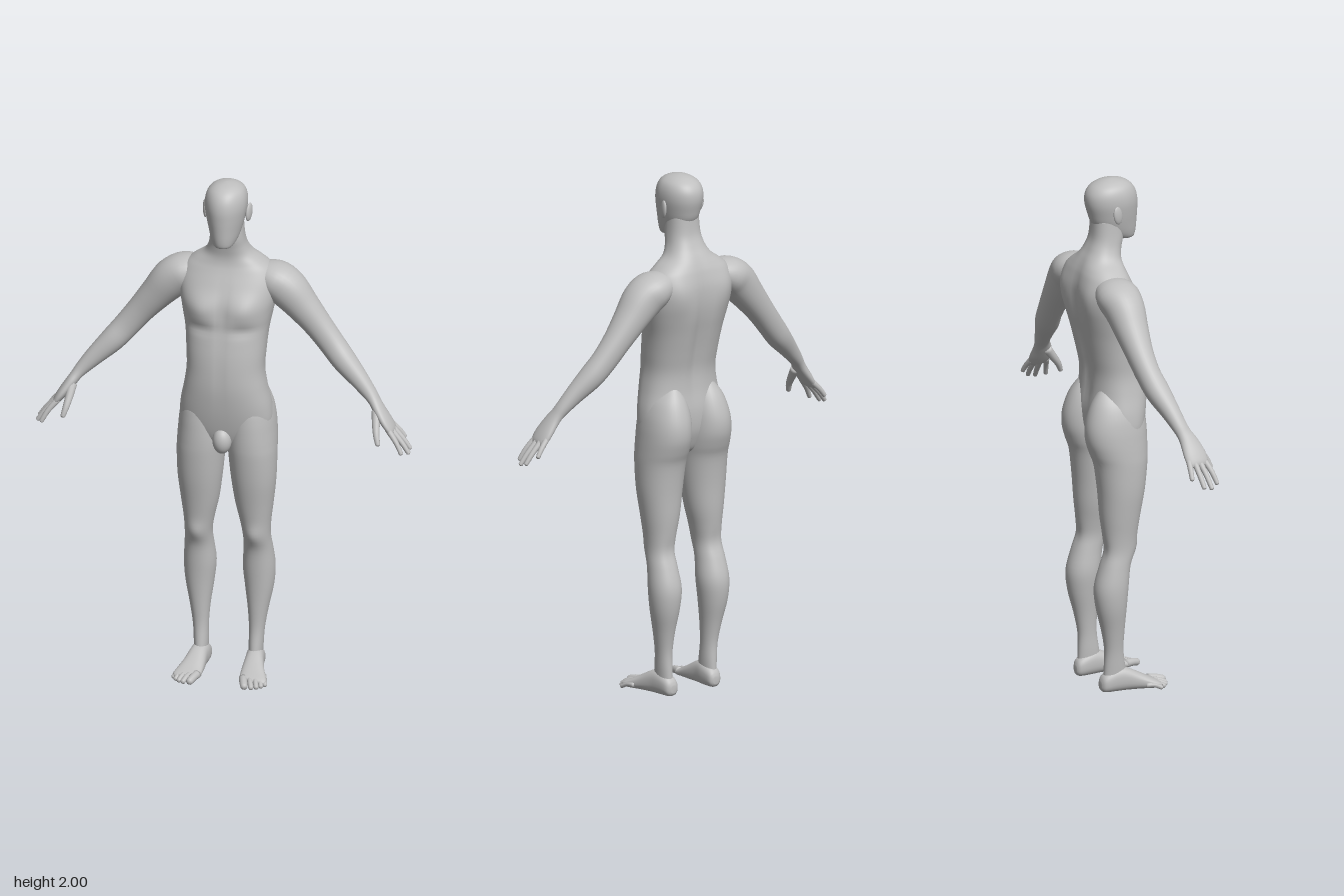
import * as THREE from 'three';

const X = new THREE.Vector3(1, 0, 0);
const Y = new THREE.Vector3(0, 1, 0);
const Z = new THREE.Vector3(0, 0, 1);

// Catmull-Rom resampling of every column of a row table
function resample(rows, steps) {
  const out = [], last = rows.length - 1;
  const at = i => rows[Math.min(last, Math.max(0, i))];
  for (let i = 0; i < last; i++) {
    for (let s = 0; s < steps; s++) {
      const t = s / steps, [p, q, r, u] = [at(i - 1), at(i), at(i + 1), at(i + 2)];
      out.push(q.map((v, k) => v + 0.5 * t * (r[k] - p[k] + t * (2 * p[k] - 5 * v + 4 * r[k] - u[k]
        + t * (3 * (v - r[k]) + u[k] - p[k])))));
    }
  }
  out.push(rows[last]);
  return out;
}

// Smooth skin over rounded sections; rows are [x, y, z, radius along side, radius across]
function loft(rows, { side = X, axis = null, power = 2, segments = 32, steps = 4, shape = null } = {}) {
  const rings = resample(rows, steps), pos = [], index = [];
  const centres = rings.map(r => new THREE.Vector3(r[0], r[1], r[2]));
  const bend = v => Math.sign(v) * Math.abs(v) ** (2 / power);
  const put = p => { if (shape) shape(p); pos.push(p.x, p.y, p.z); };
  rings.forEach((r, j) => {
    const t = axis ? axis.clone() : centres[Math.min(j + 1, rings.length - 1)].clone()
      .sub(centres[Math.max(j - 1, 0)]).normalize();
    const a = side.clone().addScaledVector(t, -side.dot(t)).normalize();
    const b = t.clone().cross(a);
    for (let i = 0; i < segments; i++) {
      const th = i / segments * Math.PI * 2;
      put(centres[j].clone()
        .addScaledVector(a, bend(Math.cos(th)) * Math.max(r[3], 0.001))
        .addScaledVector(b, bend(Math.sin(th)) * Math.max(r[4], 0.001)));
    }
  });
  const end = rings.length - 1, c0 = rings.length * segments;
  put(centres[0].clone());
  put(centres[end].clone());
  for (let i = 0; i < segments; i++) {
    const n = (i + 1) % segments;
    for (let j = 0; j < end; j++) {
      const a = j * segments, b = a + segments;
      index.push(a + i, a + n, b + n, a + i, b + n, b + i);
    }
    index.push(c0, n, i, c0 + 1, end * segments + i, end * segments + n);
  }
  const g = new THREE.BufferGeometry();
  g.setAttribute('position', new THREE.Float32BufferAttribute(pos, 3));
  g.setIndex(index);
  g.computeVertexNormals();
  return g;
}

// Upright sections given as [y, xMin, xMax, zBack, zFront]
const upright = (rows, options) => loft(
  rows.map(([y, x0, x1, zb, zf]) => [(x0 + x1) / 2, y, (zb + zf) / 2, (x1 - x0) / 2, (zf - zb) / 2]),
  { axis: Y, ...options });

// Finger or toe: a bent round rod with a rounded tip
function digit(points, r0, r1) {
  const n = points.length - 1;
  const rows = points.map((p, i) => { const r = r0 + (r1 - r0) * i / n; return [...p, r, r]; });
  const [a, b] = [new THREE.Vector3(...points[n - 1]), new THREE.Vector3(...points[n])];
  const d = b.clone().sub(a).normalize();
  for (const [k, s] of [[0.6, 0.75], [0.9, 0.3]]) {
    rows.push([...b.clone().addScaledVector(d, r1 * k).toArray(), r1 * s, r1 * s]);
  }
  return loft(rows, { side: Math.abs(d.z) > 0.8 ? X : Z, segments: 12, steps: 3 });
}

function mirrored(geometry) {
  const g = geometry.clone(), ix = g.index.array;
  g.scale(-1, 1, 1);
  for (let i = 0; i < ix.length; i += 3) [ix[i], ix[i + 1]] = [ix[i + 1], ix[i]];
  g.computeVertexNormals();
  return g;
}

const bell = (v, centre, width) => Math.exp(-(((v - centre) / width) ** 2));

// Chest, belly and back relief
function torsoShape(p) {
  const x = Math.abs(p.x);
  if (p.z > 0) {
    p.z += 0.016 * bell(x, 0.085, 0.055) * bell(p.y, 1.505, 0.05);
    p.z -= 0.007 * bell(x, 0, 0.016) * bell(p.y, 1.48, 0.1);
    p.z -= 0.008 * bell(p.y, 1.425, 0.02) * bell(x, 0.08, 0.06);
    p.z -= 0.003 * bell(x, 0, 0.012) * bell(p.y, 1.25, 0.12);
  } else if (p.z < -0.05) {
    p.z += 0.018 * bell(x, 0, 0.028) * bell(p.y, 1.38, 0.24);
    p.z -= 0.012 * bell(x, 0.11, 0.05) * bell(p.y, 1.57, 0.08);
  }
}

// Kneecap and hollow behind the knee
function legShape(p) {
  if (p.z > -0.02) p.z += 0.008 * bell(p.x, 0.11, 0.03) * bell(p.y, 0.575, 0.035);
  else if (p.z < -0.06) p.z += 0.006 * bell(p.x, 0.11, 0.025) * bell(p.y, 0.56, 0.05);
}

export function createModel() {
  const model = new THREE.Group();
  model.name = 'humanFigure';
  const skin = new THREE.MeshStandardMaterial({ color: 0xbfbfbf });
  skin.name = 'grey';

  const add = (name, geometry) => {
    const mesh = new THREE.Mesh(geometry, skin);
    mesh.name = name;
    model.add(mesh);
  };
  const pair = (name, geometry) => {
    add('left' + name, geometry);
    add('right' + name, mirrored(geometry));
  };

  // Torso and neck
  add('torso', upright([
    [0.92, 0.03, -0.05, 0.03], [0.94, 0.08, -0.08, 0.05], [0.98, 0.14, -0.10, 0.068],
    [1.03, 0.174, -0.115, 0.082], [1.10, 0.173, -0.12, 0.096], [1.18, 0.157, -0.113, 0.106],
    [1.25, 0.147, -0.114, 0.107], [1.32, 0.150, -0.128, 0.102], [1.40, 0.157, -0.147, 0.09],
    [1.47, 0.170, -0.163, 0.083], [1.53, 0.182, -0.170, 0.072], [1.59, 0.187, -0.168, 0.048],
    [1.64, 0.168, -0.157, 0.026], [1.67, 0.135, -0.146, 0.016], [1.70, 0.094, -0.131, 0.014],
    [1.735, 0.074, -0.111, 0.02], [1.78, 0.065, -0.094, 0.03], [1.85, 0.06, -0.088, 0.03],
  ].map(([y, w, zb, zf]) => [y, -w, w, zb, zf]), { power: 2.35, segments: 64, steps: 5, shape: torsoShape }));

  // Head with a plain face
  add('head', upright([
    [1.757, 0.022, 0.03, 0.07], [1.765, 0.038, 0.0, 0.083], [1.79, 0.052, -0.05, 0.089],
    [1.83, 0.064, -0.088, 0.092], [1.87, 0.073, -0.103, 0.094], [1.91, 0.079, -0.113, 0.094],
    [1.945, 0.077, -0.111, 0.086], [1.972, 0.066, -0.094, 0.069], [1.989, 0.045, -0.066, 0.044],
    [1.997, 0.022, -0.04, 0.016], [2.0, 0.004, -0.016, -0.008],
  ].map(([y, w, zb, zf]) => [y, -w, w, zb, zf]), {
    power: 2.15, segments: 48,
    shape: p => { if (p.z > 0.02) p.x *= 1 - 1.6 * (p.z - 0.02); },
  }));

  const ear = new THREE.SphereGeometry(1, 20, 14).scale(0.009, 0.036, 0.021);
  ear.rotateX(-0.2).rotateY(-0.3).translate(0.084, 1.877, -0.024);
  pair('Ear', ear);

  add('groin', new THREE.SphereGeometry(1, 24, 16).scale(0.036, 0.052, 0.038).translate(0, 0.972, 0.064));

  // Legs, with the buttocks at the top
  pair('Leg', upright([
    [1.20, 0.05, 0.11, -0.095, 0.02], [1.15, 0.022, 0.15, -0.128, 0.055], [1.10, 0.008, 0.171, -0.149, 0.075],
    [1.05, 0.004, 0.181, -0.160, 0.081], [1.00, 0.002, 0.186, -0.158, 0.083], [0.95, 0.003, 0.189, -0.143, 0.083],
    [0.90, 0.008, 0.190, -0.125, 0.08], [0.80, 0.018, 0.187, -0.112, 0.068], [0.70, 0.032, 0.176, -0.105, 0.05],
    [0.62, 0.050, 0.166, -0.097, 0.036], [0.56, 0.060, 0.163, -0.096, 0.026], [0.50, 0.058, 0.168, -0.113, 0.006],
    [0.42, 0.052, 0.174, -0.134, -0.003], [0.34, 0.060, 0.168, -0.128, -0.01], [0.25, 0.072, 0.150, -0.106, -0.015],
    [0.17, 0.078, 0.137, -0.092, -0.017], [0.10, 0.078, 0.132, -0.093, -0.008], [0.04, 0.08, 0.128, -0.095, 0.0],
  ].reverse(), { power: 2.1, segments: 40, shape: legShape }));

  // Feet and toes
  pair('Foot', loft([
    [0.100, 0.030, -0.108, 0.012, 0.014], [0.102, 0.036, -0.095, 0.028, 0.033], [0.104, 0.047, -0.05, 0.034, 0.046],
    [0.108, 0.046, -0.01, 0.036, 0.045], [0.114, 0.034, 0.04, 0.043, 0.033], [0.122, 0.024, 0.08, 0.05, 0.022],
    [0.126, 0.019, 0.105, 0.052, 0.015], [0.128, 0.016, 0.12, 0.042, 0.009],
  ], { axis: Z, power: 2.4, shape: p => { p.y = Math.max(p.y, 0.001); } }));
  [[0.088, 0.104, 0.152, 0.016], [0.112, 0.130, 0.150, 0.011], [0.131, 0.148, 0.141, 0.0105],
    [0.147, 0.163, 0.128, 0.010], [0.160, 0.175, 0.111, 0.0095]].forEach(([x0, x1, z, r], i) => {
    pair('Toe' + (i + 1), digit([[x0, 0.022, z - 0.055], [(x0 + x1) / 2, 0.021, z - 0.025], [x1, r * 0.9 + 0.001, z]], r, r * 0.88));
  });

  // Arms running into the palms
  pair('Arm', loft([
    [0.09, 1.615, -0.075, 0.05, 0.035], [0.165, 1.597, -0.075, 0.082, 0.066], [0.22, 1.56, -0.07, 0.077, 0.075],
    [0.28, 1.492, -0.07, 0.064, 0.063], [0.34, 1.42, -0.068, 0.052, 0.053], [0.395, 1.352, -0.06, 0.046, 0.049],
    [0.445, 1.295, -0.045, 0.046, 0.046], [0.505, 1.235, -0.025, 0.036, 0.036], [0.55, 1.187, -0.01, 0.030, 0.027],
    [0.572, 1.16, 0.0, 0.030, 0.022], [0.592, 1.132, 0.01, 0.037, 0.021], [0.62, 1.093, 0.018, 0.045, 0.019],
    [0.640, 1.064, 0.021, 0.043, 0.015], [0.648, 1.053, 0.022, 0.034, 0.008],
  ], { side: Z, power: 2.1 }));

  // Fingers and thumb
  const fingers = {
    IndexFinger: [[0.632, 1.072, 0.050], [0.667, 1.03, 0.066], [0.688, 0.992, 0.076]],
    MiddleFinger: [[0.640, 1.066, 0.030], [0.682, 1.02, 0.038], [0.709, 0.983, 0.043]],
    RingFinger: [[0.640, 1.068, 0.008], [0.682, 1.024, 0.010], [0.708, 0.99, 0.012]],
    LittleFinger: [[0.630, 1.078, -0.012], [0.662, 1.045, -0.020], [0.680, 1.02, -0.024]],
  };
  for (const [name, path] of Object.entries(fingers)) pair(name, digit(path, 0.0115, 0.0085));
  pair('Thumb', digit([[0.582, 1.13, 0.025], [0.588, 1.09, 0.055], [0.595, 1.056, 0.08], [0.603, 1.028, 0.093]], 0.018, 0.0095));

  return model;
}
